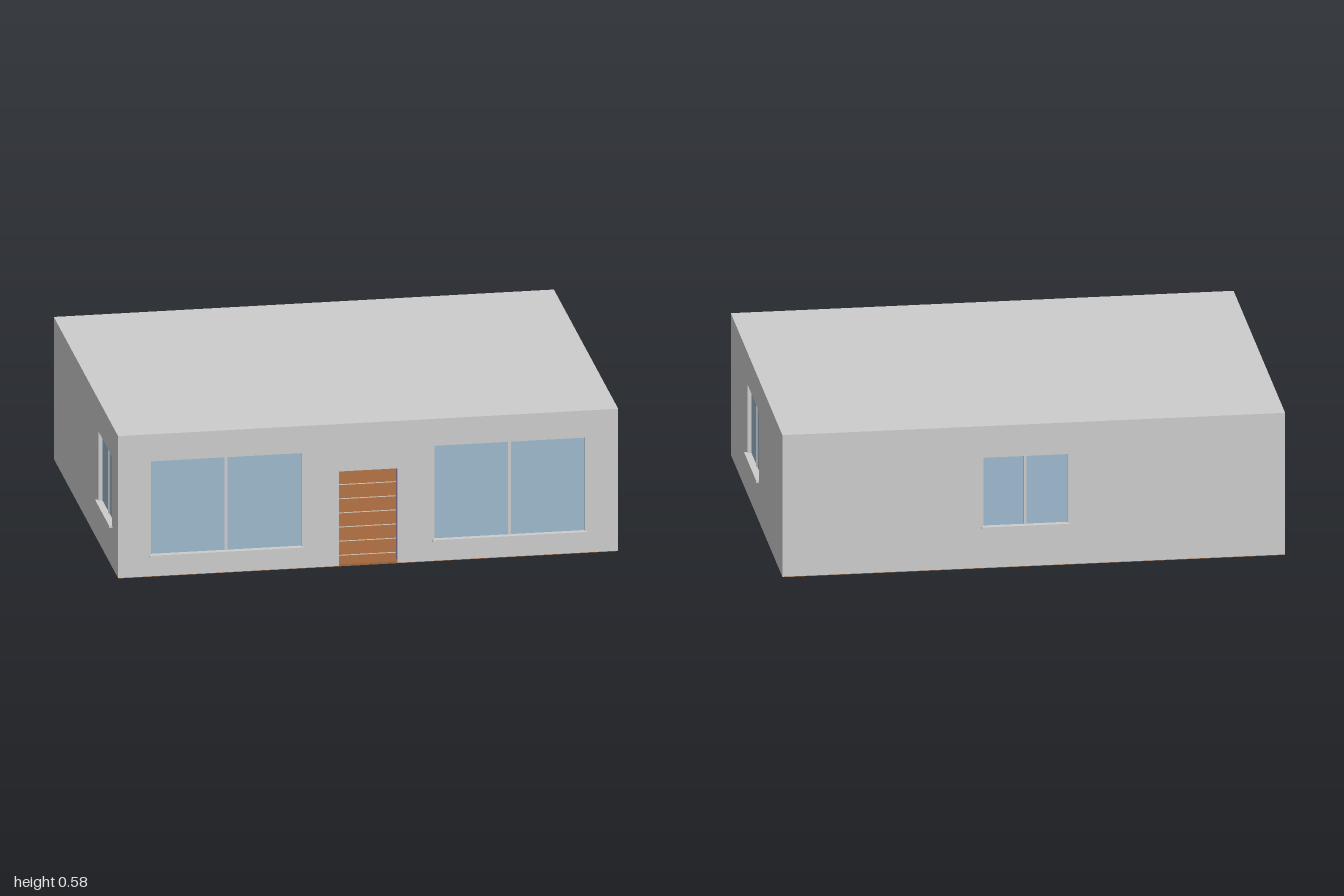
import * as THREE from 'three';

const mat = (name, color, side = THREE.FrontSide) => {
  const m = new THREE.MeshStandardMaterial({ color, side });
  m.name = name;
  return m;
};
const W = 1.976, D = 1.478, H = 0.585;   // outer size of the house
const T = 0.022, LINING = 0.003;         // wall and inner lining thickness
const ROOF = 0.02, BASE = 0.002;

export function createModel() {
  const wallGray = mat('wallGray', 0xcccccc);
  const glassBlue = mat('glassBlue', 0x9db9cd);
  const purple = mat('interiorPurple', 0x9058a6);
  const wood = mat('floorWood', 0xa2673c);
  const seam = mat('floorSeam', 0xcdbfb0);

  const house = new THREE.Group();
  house.name = 'house';

  const box = (parent, name, material, size, pos) => {
    const mesh = new THREE.Mesh(new THREE.BoxGeometry(...size), material);
    mesh.position.set(...pos);
    mesh.name = name;
    parent.add(mesh);
  };

  // Wall outline with an optional doorway notch and window holes
  const wallShape = (length, windows, door) => {
    const h = length / 2, top = H - ROOF;
    const pts = [[-h, BASE]];
    if (door) pts.push([-door.w / 2, BASE], [-door.w / 2, door.top], [door.w / 2, door.top], [door.w / 2, BASE]);
    pts.push([h, BASE], [h, top], [-h, top]);
    const shape = new THREE.Shape(pts.map(p => new THREE.Vector2(...p)));
    for (const { x, w, y0, y1 } of windows) {
      shape.holes.push(new THREE.Path([[x - w / 2, y0], [x - w / 2, y1], [x + w / 2, y1], [x + w / 2, y0]]
        .map(p => new THREE.Vector2(...p))));
    }
    return shape;
  };

  // One wall with its lining, glass, mullions and sills; local +z faces outward
  const addWall = (name, length, dist, turn, windows, door) => {
    const wall = new THREE.Group();
    wall.name = name;
    const shape = wallShape(length, windows, door);
    const layer = (part, material, depth, z) => {
      const mesh = new THREE.Mesh(new THREE.ExtrudeGeometry(shape, { depth, bevelEnabled: false }), material);
      mesh.position.z = z;
      mesh.name = part;
      wall.add(mesh);
    };
    layer('outerWall', wallGray, T, dist - T);
    layer('innerLining', purple, LINING, dist - T - LINING);
    for (const { x, w, y0, y1 } of windows) {
      const y = (y0 + y1) / 2, h = y1 - y0;
      box(wall, 'windowGlass', glassBlue, [w, h, 0.004], [x, y, dist - 0.018]);
      box(wall, 'windowMullion', wallGray, [0.011, h, 0.012], [x, y, dist - 0.018]);
      box(wall, 'windowSill', wallGray, [w + 0.016, 0.009, 0.012], [x, y0 - 0.0035, dist + 0.006]);
      box(wall, 'innerSill', wallGray, [w + 0.016, 0.02, 0.012], [x, y0 - 0.01, dist - T - 0.008]);
    }
    wall.rotation.y = turn;
    house.add(wall);
  };

  const large = x => ({ x, w: 0.595, y0: 0.089, y1: 0.474 });
  const small = (x, w = 0.33) => ({ x, w, y0: 0.171, y1: 0.455 });
  const sideLength = D - 2 * T;
  addWall('frontWall', W, D / 2, 0, [large(-0.56), large(0.56)], { w: 0.23, top: 0.39 });
  addWall('backWall', W, D / 2, Math.PI, [small(-0.032)]);
  addWall('leftWall', sideLength, W / 2, Math.PI / 2, [small(-0.1)]);
  addWall('rightWall', sideLength, W / 2, -Math.PI / 2, [small(0.442, 0.31)]);

  // Flat roof and wooden floor
  box(house, 'roof', wallGray, [W, ROOF, D], [0, H - ROOF / 2, 0]);
  box(house, 'floor', wood, [W - 0.002, 0.008, D - 0.002], [0, 0.004, 0]);

  // Seams between the floor boards
  for (let z = 0.63; z > -0.7; z -= 0.17) {
    box(house, 'floorSeam', seam, [W - 0.06, 0.001, 0.008], [0, 0.0085, z]);
  }
  return house;
}
